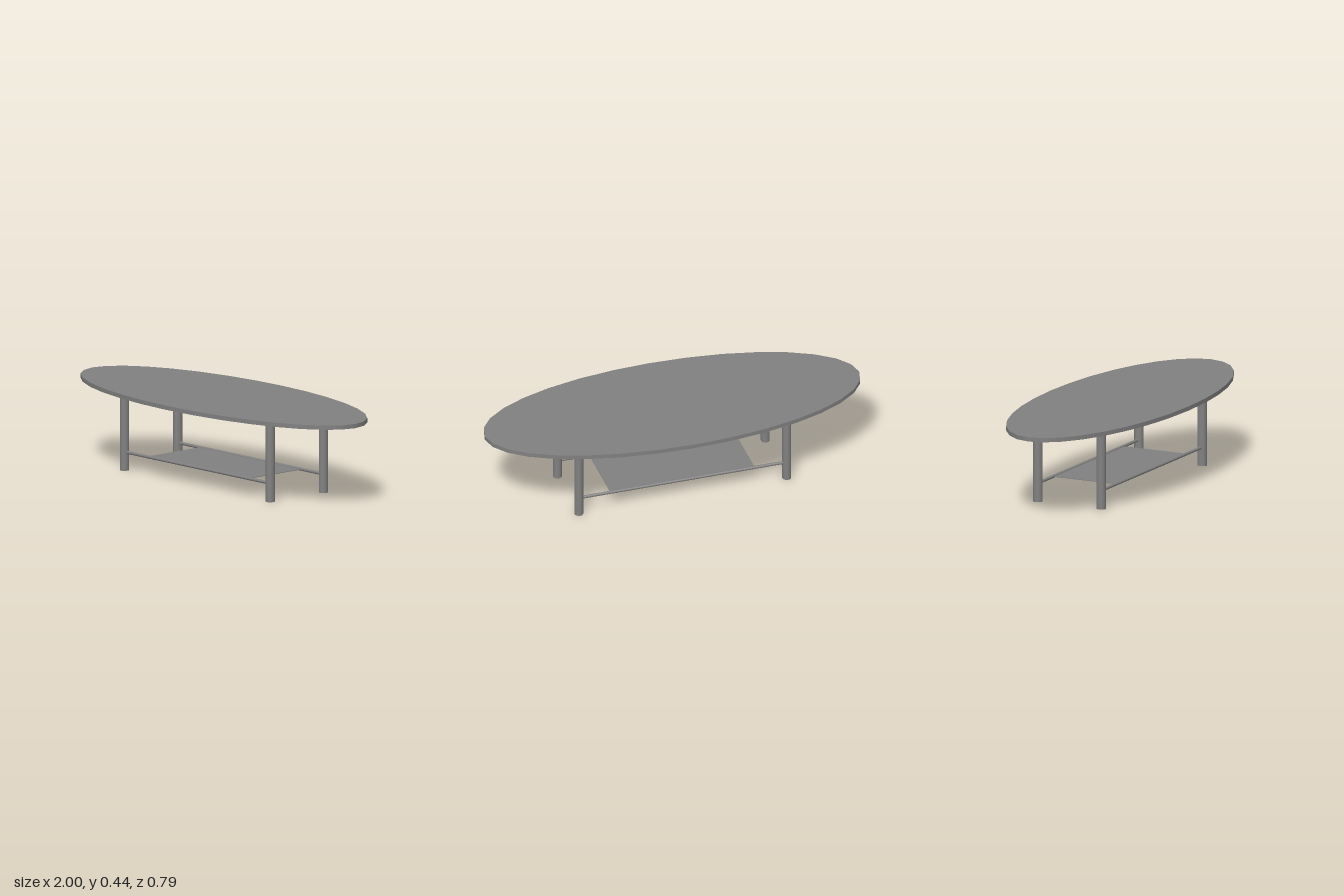
import * as THREE from 'three';

const LEG_X = 0.555, LEG_Z = 0.182, RAIL_Y = 0.094;

export function createModel() {
  const model = new THREE.Group();
  const material = new THREE.MeshStandardMaterial({ color: 0x808080 });

  const add = (name, geometry, x, y, z) => {
    const mesh = new THREE.Mesh(geometry, material);
    mesh.name = name;
    mesh.position.set(x, y, z);
    model.add(mesh);
  };

  // Oval top: a thin disc squeezed in depth
  const top = new THREE.CylinderGeometry(1, 1, 0.022, 32);
  top.scale(1, 1, 0.395);
  add('tableTop', top, 0, 0.433, 0);

  // Four slightly oval legs, stopping just short of the top
  const leg = new THREE.CylinderGeometry(0.0243, 0.0243, 0.416, 32);
  leg.scale(0.93, 1, 1);
  for (const [side, x] of [['Left', LEG_X], ['Right', -LEG_X]]) {
    add('front' + side + 'Leg', leg, x, 0.208, LEG_Z);
    add('back' + side + 'Leg', leg, x, 0.208, -LEG_Z);
  }

  // Long rails joining the legs at front and back
  const rail = new THREE.CylinderGeometry(0.008, 0.008, 2 * LEG_X - 0.03, 24);
  rail.rotateZ(Math.PI / 2);
  add('frontRail', rail, 0, RAIL_Y + 0.001, LEG_Z);
  add('backRail', rail, 0, RAIL_Y + 0.001, -LEG_Z);

  // Thin lower shelf held between the rails
  add('shelf', new THREE.BoxGeometry(0.77, 0.003, 2 * LEG_Z), 0, RAIL_Y, 0);

  return model;
}
